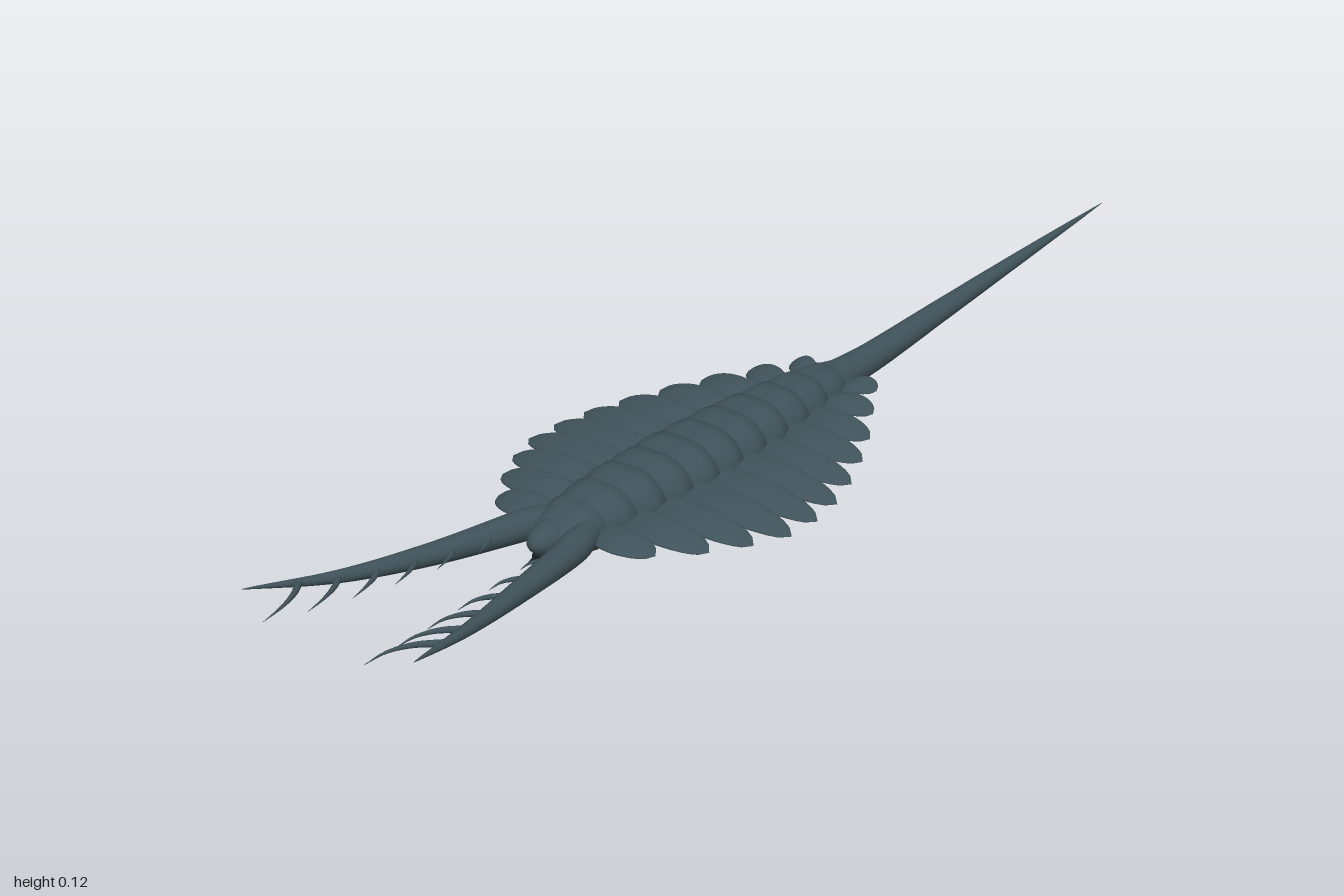
import * as THREE from 'three';

const shellMat = new THREE.MeshStandardMaterial({ color: 0x3f5259, side: THREE.DoubleSide });
const bellyMat = new THREE.MeshStandardMaterial({ color: 0x52443a });
const darkMat = new THREE.MeshStandardMaterial({ color: 0x1c2427 });
const V = (x, y, z) => new THREE.Vector3(x, y, z);

// Skin over a grid of points: u runs along the part, v runs around it
function loft(nu, nv, point, closed = true, mirror = false) {
  const cols = closed ? nv : nv + 1, pos = [], idx = [];
  for (let i = 0; i <= nu; i++) for (let j = 0; j < cols; j++) {
    const p = point(i / nu, j / nv, i);
    pos.push(mirror ? -p.x : p.x, p.y, p.z);
  }
  for (let i = 0; i < nu; i++) for (let j = 0; j < nv; j++) {
    const k = (j + 1) % cols;
    const a = i * cols + j, b = i * cols + k, c = a + cols, d = b + cols;
    if (mirror) idx.push(a, c, b, b, c, d); else idx.push(a, b, c, b, d, c);
  }
  const g = new THREE.BufferGeometry();
  g.setAttribute('position', new THREE.Float32BufferAttribute(pos, 3));
  g.setIndex(idx);
  g.computeVertexNormals();
  return g;
}

// Round tube along a curve, with a radius that changes with t
function taper(points, radius, nu, nv, mirror) {
  const curve = new THREE.CatmullRomCurve3(points);
  const f = curve.computeFrenetFrames(nu);
  return loft(nu, nv, (u, v, i) => {
    const a = v * Math.PI * 2, r = radius(u);
    return curve.getPointAt(u)
      .addScaledVector(f.normals[i], Math.cos(a) * r)
      .addScaledVector(f.binormals[i], Math.sin(a) * r);
  }, true, mirror);
}

// Body sections: z, half width, top, bottom
const sections = [
  [-0.28, 0.018, 0.075, 0.05], [-0.2, 0.04, 0.094, 0.03], [-0.1, 0.058, 0.105, 0.015],
  [0.05, 0.073, 0.11, 0.006], [0.2, 0.079, 0.112, 0.003], [0.35, 0.072, 0.11, 0.008],
  [0.44, 0.06, 0.103, 0.016], [0.5, 0.045, 0.09, 0.027], [0.535, 0.02, 0.07, 0.04],
];
function section(z) {
  let i = 0;
  while (i < sections.length - 2 && z > sections[i + 1][0]) i++;
  const a = sections[i], b = sections[i + 1];
  const t = THREE.MathUtils.clamp((z - a[0]) / (b[0] - a[0]), 0, 1);
  return a.map((n, k) => n + (b[k] - n) * t);
}
const MID = 0.055;

// Flaps from back to front: tip x, tip z
const flaps = [
  [0.088, -0.205], [0.13, -0.14], [0.175, -0.072], [0.21, -0.006], [0.24, 0.062], [0.261, 0.127],
  [0.271, 0.19], [0.27, 0.254], [0.246, 0.318], [0.211, 0.383], [0.16, 0.45],
];

function flapGeometry(tipX, z, i, mirror) {
  const rootX = section(z)[1] * 0.7, len = tipX - rootX;
  const chord = 0.034 * Math.min(1, 0.6 + len * 3);
  return loft(16, 16, (u, v) => {
    const a = v * Math.PI * 2;
    const w = u >= 1 ? 0 : Math.pow(1 - Math.pow(u, 4), 0.6) * (0.65 + 0.35 * Math.sin(Math.min(1, u * 1.6) * Math.PI / 2));
    const c = Math.sin(a) * chord * w;
    const droop = 0.062 + 0.012 * Math.sin(u * Math.PI * 0.7) - 0.024 * u * u * (len / 0.2);
    const sweep = i < 2 ? -0.02 * u + 0.02 : 0.012 * Math.sin(u * Math.PI);
    return V(rootX + len * u, droop + Math.cos(a) * 0.006 * w - c * 0.22, z + c + sweep - 0.005);
  }, true, mirror);
}

export function createModel() {
  const model = new THREE.Group();
  const add = (name, geo, mat = shellMat, parent = model) => {
    const m = new THREE.Mesh(geo, mat);
    m.name = name;
    parent.add(m);
    return m;
  };

  // Soft underside with fine cross ridges
  add('belly', loft(90, 28, (u, v) => {
    const [z, w, top, bot] = section(-0.28 + u * 0.815);
    const a = v * Math.PI * 2, s = Math.sin(a);
    const ridge = 1 - 0.02 * (0.5 + 0.5 * Math.cos(u * Math.PI * 44));
    const end = u === 0 || u === 1 ? 0 : 1;
    return V(Math.cos(a) * w * 0.98 * ridge * end,
      MID + s * end * (s > 0 ? (top - MID) * 0.85 : (MID - bot) * ridge), z);
  }), bellyMat);

  // Overlapping back plates, each flared at its rear edge
  const plates = new THREE.Group();
  plates.name = 'backPlates';
  model.add(plates);
  const count = 12, pitch = 0.063;
  for (let i = 0; i < count; i++) {
    const front = 0.515 - i * pitch, rear = front - pitch * 1.2;
    const rows = [[rear + 0.006, 0.9], [rear, 1.03], [rear + 0.02, 1.03], [front - 0.02, 0.99], [front, 0.93]];
    add('backPlate', loft(4, 24, (u, v, k) => {
      const [pz, s] = rows[k], [, w, top] = section(pz);
      const a = v * Math.PI, c = Math.cos(a);
      const dip = 0.003 * Math.exp(-c * c * 16);
      return V(c * w * s, MID - 0.006 + (Math.pow(Math.sin(a), 0.8) * (top - MID + 0.006) - dip) * s, pz);
    }, false), shellMat, plates);
  }

  // Head with mouth and small teeth beneath it
  const head = add('head', new THREE.SphereGeometry(1, 24, 16));
  head.scale.set(0.027, 0.026, 0.045);
  head.position.set(0, 0.064, 0.505);
  const mouth = add('mouth', new THREE.TorusGeometry(0.011, 0.005, 8, 18), darkMat);
  mouth.position.set(0, 0.033, 0.527);
  mouth.rotation.x = 0.5;
  for (let i = 0; i < 6; i++) {
    const a = i * Math.PI / 3;
    const tooth = add('tooth', new THREE.ConeGeometry(0.003, 0.016, 6), darkMat);
    tooth.position.set(Math.cos(a) * 0.01, 0.032 + Math.sin(a) * 0.008, 0.538);
    tooth.rotation.x = Math.PI / 2;
  }

  // Long tail spike
  add('tail', taper(
    [V(0, 0.062, -0.2), V(0.001, 0.063, -0.3), V(0.006, 0.082, -0.5), V(0.008, 0.1, -0.72), V(0, 0.112, -1)],
    (t) => 0.029 * Math.pow(1 - t, 0.9) + 0.0004, 40, 14));

  for (const mirror of [false, true]) {
    const side = mirror ? 'right' : 'left', sx = mirror ? -1 : 1;

    // Swimming flaps
    flaps.forEach(([x, z], i) => add(side + 'Flap', flapGeometry(x, z, i, mirror)));

    // Grasping arm
    const path = [V(0.04, 0.066, 0.46), V(0.06, 0.066, 0.53), V(0.09, 0.073, 0.67), V(0.128, 0.09, 0.83), V(0.171, 0.122, 0.99)];
    const arm = new THREE.CatmullRomCurve3(path);
    add(side + 'Arm', taper(path,
      (t) => 0.027 * Math.min(1, 0.75 + t * 3) * Math.pow(1 - t, 0.85) + 0.0005, 40, 14, mirror));

    // Curved spines along the inner edge of the arm
    for (let i = 0; i < 6; i++) {
      const t = 0.2 + i * 0.125, p = arm.getPointAt(t);
      const reach = 0.026 + 0.004 * i, ahead = 0.055 + 0.013 * i;
      add(side + 'ArmSpine', taper([
        p, V(p.x - reach * 0.55, p.y + 0.005, p.z + ahead * 0.3),
        V(p.x - reach * 0.9, p.y + 0.006, p.z + ahead * 0.65), V(p.x - reach, p.y + 0.002, p.z + ahead),
      ], (k) => 0.0065 * (1 - k) + 0.0003, 12, 8, mirror));
    }

    // Small eye bumps low on the head
    const eye = add(side + 'Eye', new THREE.SphereGeometry(0.007, 12, 8), darkMat);
    eye.position.set(sx * 0.045, 0.034, 0.49);
  }
  return model;
}
